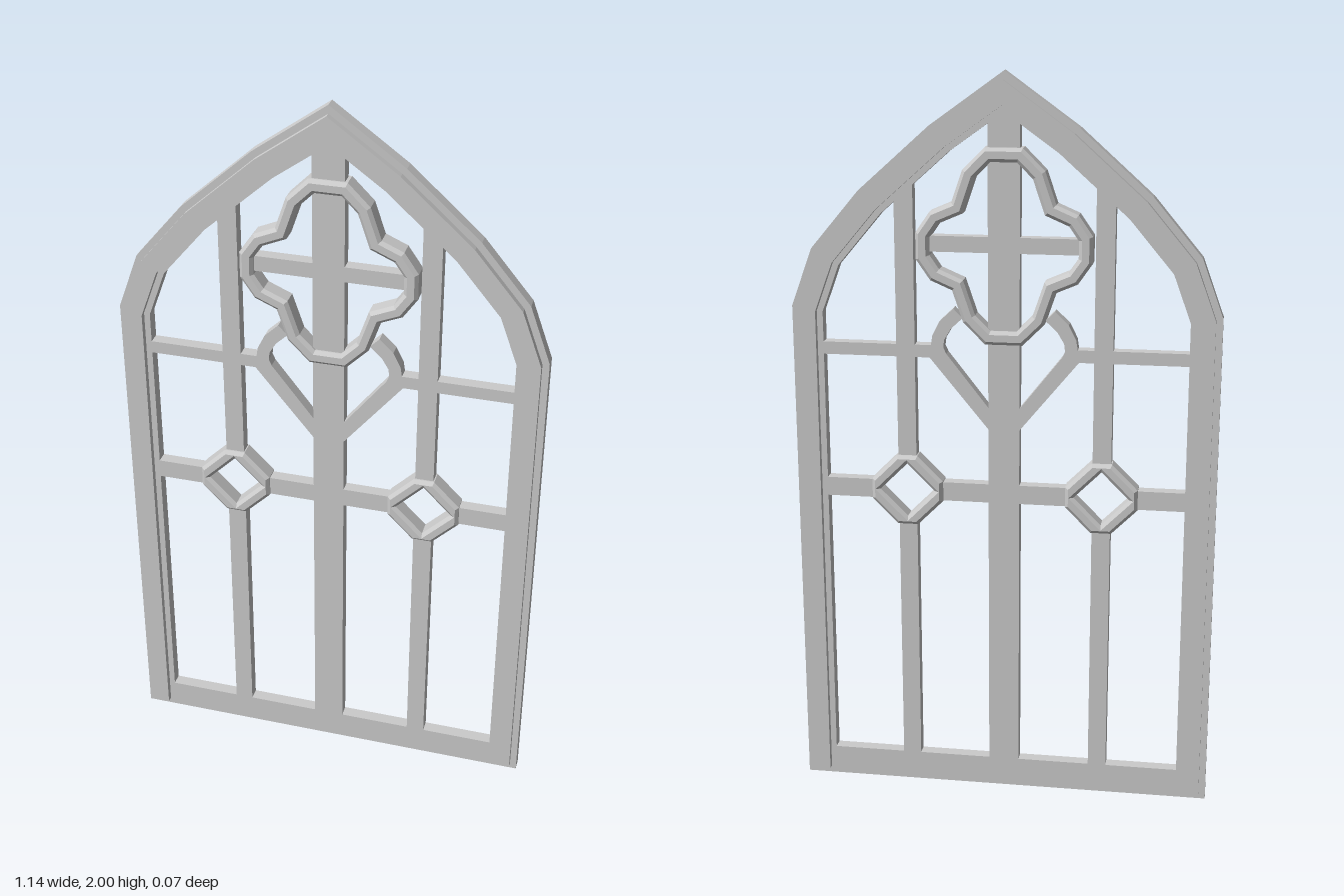
import * as THREE from 'three';

const material = new THREE.MeshStandardMaterial({ color: 0xcccccc, flatShading: true, side: THREE.DoubleSide });
const BAR = 0.017, TRIM = 0.035, RING = 0.03; // half depths

const mirrorX = (pts) => pts.map(([x, y]) => [-x, y]).reverse();
const toVectors = (pts) => pts.map(([x, y]) => new THREE.Vector2(x, y));

// Moves every side of a closed counter-clockwise outline inwards by d, with mitred corners.
function inset(pts, d) {
  const n = pts.length;
  return pts.map((p, i) => {
    const a = pts[(i + n - 1) % n], b = pts[(i + 1) % n];
    const normal = (s, e) => {
      const l = Math.hypot(e[0] - s[0], e[1] - s[1]);
      return [-(e[1] - s[1]) / l, (e[0] - s[0]) / l];
    };
    const m = normal(a, p), k = normal(p, b);
    const f = d / (1 + m[0] * k[0] + m[1] * k[1]);
    return [p[0] + (m[0] + k[0]) * f, p[1] + (m[1] + k[1]) * f];
  });
}

// Flat outline, optionally with a hole, extruded evenly about z = 0.
function slab(group, name, outline, half, hole = null, bevel = 0) {
  const shape = new THREE.Shape(toVectors(outline));
  if (hole) shape.holes.push(new THREE.Path(toVectors(hole)));
  const geometry = new THREE.ExtrudeGeometry(shape, {
    depth: 2 * (half - bevel), bevelEnabled: bevel > 0, bevelSegments: 1,
    bevelSize: bevel, bevelThickness: bevel, bevelOffset: -bevel,
  });
  geometry.translate(0, 0, -(half - bevel));
  const mesh = new THREE.Mesh(geometry, material);
  mesh.name = name;
  group.add(mesh);
}

function bar(group, name, x0, x1, y0, y1) {
  const mesh = new THREE.Mesh(new THREE.BoxGeometry(x1 - x0, y1 - y0, 2 * BAR), material);
  mesh.position.set((x0 + x1) / 2, (y0 + y1) / 2, 0);
  mesh.name = name;
  group.add(mesh);
}

export function createModel() {
  const model = new THREE.Group();
  model.name = 'archedWindow';

  // Pointed-arch frame
  const half = [[0.572, 0], [0.572, 1.38], [0.515, 1.535], [0.385, 1.69], [0.195, 1.86]];
  const arch = [...half, [0, 2], ...mirrorX(half)];
  slab(model, 'frame', arch, BAR, inset(arch, 0.083));

  // Raised trim, open at the foot
  const foot = (pts) => pts.map(([x, y], i) => [x, i === 0 || i === pts.length - 1 ? 0.02 : y]);
  slab(model, 'frameTrim', [...foot(inset(arch, 0.018)), ...foot(inset(arch, 0.067)).reverse()], TRIM);

  // Central mullion and the bar across the quatrefoil
  bar(model, 'centreMullion', -0.042, 0.042, 0.06, 1.92);
  bar(model, 'quatrefoilBar', -0.21, 0.21, 1.535, 1.577);

  // Quatrefoil ring
  const cy = 1.55;
  const quarter = [[0.233, 0.035], [0.195, 0.09], [0.137, 0.115], [0.108, 0.2], [0.05, 0.258]];
  const upper = [...quarter, ...mirrorX(quarter)];
  const foil = [...upper, ...upper.map(([x, y]) => [-x, -y])].map(([x, y]) => [x, y + cy]);
  slab(model, 'quatrefoil', foil, RING, inset(foil, 0.037), 0.009);

  // Tracery repeated on both sides
  for (const s of [1, -1]) {
    const side = new THREE.Group();
    side.name = s > 0 ? 'leftTracery' : 'rightTracery';
    const place = (pts) => (s > 0 ? pts : mirrorX(pts));
    const span = (name, x0, x1, y0, y1) =>
      bar(side, name, Math.min(s * x0, s * x1), Math.max(s * x0, s * x1), y0, y1);
    const mx = 0.265, my = 0.877;

    span('lowerMullion', 0.24, 0.29, 0.06, my - 0.085);
    span('upperMullion', 0.24, 0.29, my + 0.085, 1.73);
    span('innerTransom', 0.03, mx - 0.085, 0.85, 0.902);
    span('outerTransom', mx + 0.085, 0.5, 0.85, 0.902);
    span('upperTransom', 0.165, 0.5, 1.25, 1.284);

    // Eight-sided boss with a diamond opening
    const a = 0.028, b = 0.098, r = 0.075;
    const boss = [[b, -a], [b, a], [a, b], [-a, b], [-b, a], [-b, -a], [-a, -b], [a, -b]];
    const hole = [[r, 0], [0, r], [-r, 0], [0, -r]];
    const shift = (pts) => place(pts.map(([x, y]) => [x + mx, y + my]));
    slab(side, 'diamondBoss', shift(boss), RING, shift(hole), 0.009);

    // Slanted brace and the curved strut up to the quatrefoil
    slab(side, 'brace', place([[0.02, 1.02], [0.04, 1.055], [0.2, 1.25], [0.2, 1.284],
      [0.165, 1.284], [0.155, 1.262], [0.04, 1.115], [0.02, 1.09]]), BAR);
    slab(side, 'strut', place([[0.165, 1.26], [0.2, 1.26], [0.192, 1.31], [0.172, 1.35],
      [0.135, 1.385], [0.11, 1.36], [0.142, 1.33], [0.16, 1.3]]), BAR);
    model.add(side);
  }
  return model;
}
